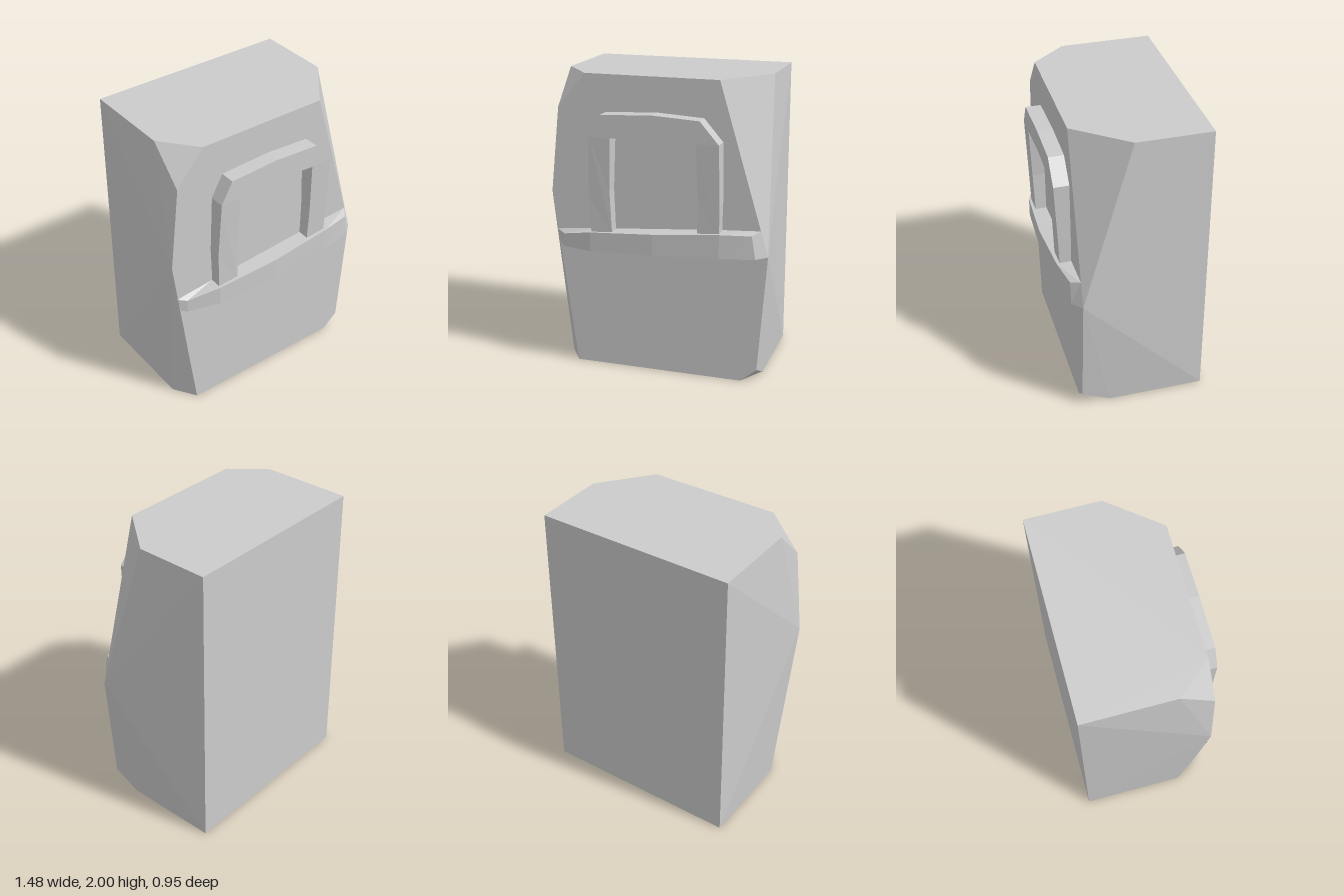
import * as THREE from 'three';
import { ConvexGeometry } from 'three/addons/geometries/ConvexGeometry.js';

const FACE = 0.36, BACK = -0.48;
const material = new THREE.MeshStandardMaterial({ color: 0xcccccc, flatShading: true });

function part(name, geometry) {
  const mesh = new THREE.Mesh(geometry, material);
  mesh.name = name;
  return mesh;
}

// Chipped block: square at the back, bulging and chamfered along the front corners
function blockGeometry() {
  const corners = [
    [-0.68, 0, BACK], [0.68, 0, BACK], [-0.68, 2, BACK], [0.68, 2, BACK],
    // top edge
    [-0.68, 2, 0.13], [-0.49, 2, FACE], [0.41, 2, FACE], [0.68, 2, 0.02],
    // front face sides
    [-0.68, 1.77, FACE], [-0.74, 1.2, FACE], [0.74, 0.88, FACE], [0.68, 0.09, FACE],
    // bottom edge
    [-0.68, 0, 0.21], [-0.58, 0, FACE], [0.57, 0, FACE], [0.68, 0, 0.17],
  ];
  return new ConvexGeometry(corners.map(c => new THREE.Vector3(...c)));
}

// Raised frame: upside-down U whose front leans out toward the top
function frameGeometry() {
  const outer = [[-0.435, 0.94], [-0.445, 1.22], [-0.43, 1.61], [-0.35, 1.755], [0, 1.772],
    [0.31, 1.755], [0.435, 1.61], [0.44, 1.22], [0.435, 1.0]];
  const inner = [[0.29, 0.99], [0.295, 1.25], [0.285, 1.605], [0, 1.625],
    [-0.285, 1.605], [-0.3, 1.25], [-0.29, 0.95]];
  const shape = new THREE.Shape([...outer, ...inner].map(p => new THREE.Vector2(...p)));
  const geo = new THREE.ExtrudeGeometry(shape, { depth: 1, bevelEnabled: false });
  const pos = geo.attributes.position;
  for (let i = 0; i < pos.count; i++) {
    const lean = THREE.MathUtils.clamp((pos.getY(i) - 1.03) / 0.58, 0, 1);
    pos.setZ(i, pos.getZ(i) > 0.5 ? 0.435 + 0.027 * lean : FACE - 0.01);
  }
  geo.computeVertexNormals();
  return geo;
}

// Sloping ledge lofted through four-cornered sections:
// back top, front top, front bottom, back bottom
function ledgeGeometry() {
  const sections = [
    [[-0.71, 0.94, FACE], [-0.705, 0.935, 0.362], [-0.685, 0.835, 0.362], [-0.68, 0.83, FACE]],
    [[-0.65, 0.945, FACE], [-0.65, 0.915, 0.385], [-0.65, 0.826, 0.385], [-0.65, 0.83, FACE]],
    [[-0.44, 0.965, FACE], [-0.44, 0.962, 0.452], [-0.44, 0.832, 0.452], [-0.44, 0.838, FACE]],
    [[0, 1.0, FACE], [0, 0.995, 0.474], [0, 0.852, 0.474], [0, 0.855, FACE]],
    [[0.44, 1.035, FACE], [0.44, 1.03, 0.456], [0.44, 0.868, 0.456], [0.44, 0.87, FACE]],
    [[0.69, 1.05, FACE], [0.645, 1.03, 0.42], [0.67, 0.877, 0.42], [0.74, 0.88, FACE]],
  ];
  const index = [];
  for (let s = 0; s < sections.length - 1; s++) {
    for (let k = 0; k < 4; k++) {
      const a = s * 4 + k, b = s * 4 + (k + 1) % 4;
      index.push(a, b, a + 4, b, b + 4, a + 4);
    }
  }
  const e = (sections.length - 1) * 4;
  index.push(0, 2, 1, 0, 3, 2, e, e + 1, e + 2, e, e + 2, e + 3);
  const geo = new THREE.BufferGeometry();
  geo.setAttribute('position', new THREE.Float32BufferAttribute(sections.flat(2), 3));
  geo.setIndex(index);
  const flat = geo.toNonIndexed();
  flat.computeVertexNormals();
  return flat;
}

export function createModel() {
  const group = new THREE.Group();
  group.name = 'carvedBlock';
  group.add(
    part('block', blockGeometry()),
    part('raisedFrame', frameGeometry()),
    part('ledge', ledgeGeometry()),
  );
  return group;
}
